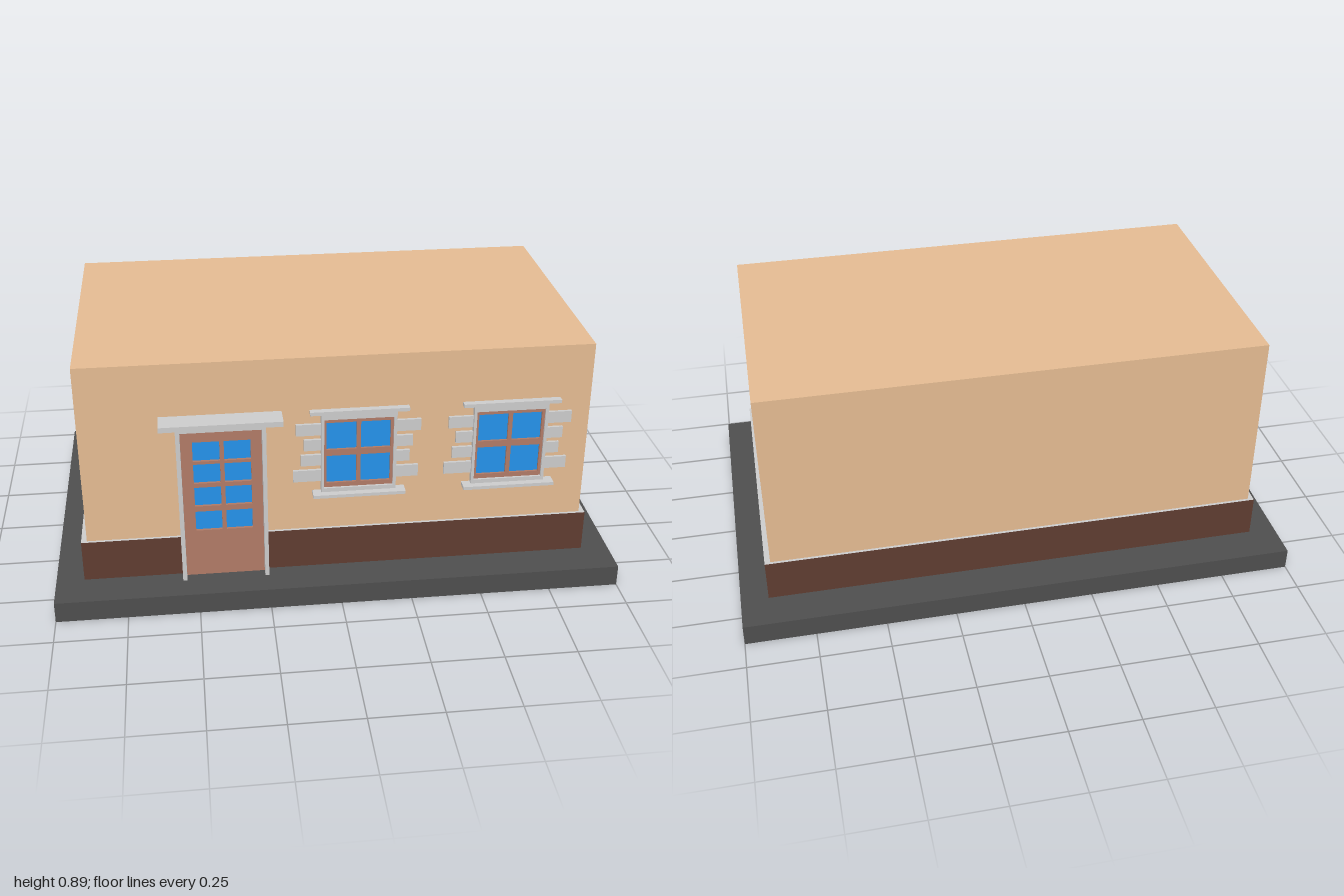
import * as THREE from 'three';

const mat = (color) => new THREE.MeshStandardMaterial({ color });

export function createModel() {
  const model = new THREE.Group();
  const stone = mat(0xcccccc), plaster = mat(0xe4bb92), plinthBrown = mat(0x5f3c30);
  const paving = mat(0x4e4e4e), wood = mat(0xb07a66), glass = mat(0x2492ea);

  // Box given by its limits on each axis
  function box(parent, name, material, x0, x1, y0, y1, z0, z1) {
    const mesh = new THREE.Mesh(new THREE.BoxGeometry(x1 - x0, y1 - y0, z1 - z0), material);
    mesh.position.set((x0 + x1) / 2, (y0 + y1) / 2, (z0 + z1) / 2);
    mesh.name = name;
    parent.add(mesh);
    return mesh;
  }

  // Upright panel with rectangular openings, each [x0, x1, y0, y1]
  function panel(parent, name, material, [x0, x1, y0, y1], holes, z0, z1) {
    const trace = (path, a, b, c, d) =>
      path.moveTo(a, c).lineTo(b, c).lineTo(b, d).lineTo(a, d).lineTo(a, c);
    const shape = trace(new THREE.Shape(), x0, x1, y0, y1);
    for (const h of holes) shape.holes.push(trace(new THREE.Path(), ...h));
    const geometry = new THREE.ExtrudeGeometry(shape, { depth: z1 - z0, bevelEnabled: false });
    const mesh = new THREE.Mesh(geometry, material);
    mesh.position.z = z0;
    mesh.name = name;
    parent.add(mesh);
  }

  // Every pairing of a column span with a row span
  const grid = (columns, rows) => columns.flatMap((c) => rows.map((r) => [...c, ...r]));

  // Building body
  box(model, 'groundSlab', paving, -1, 1, 0, 0.077, -0.635, 0.635);
  const plinth = box(model, 'plinth', plinthBrown, -0.902, 0.902, 0.077, 0.23, -0.5, 0.5);
  plinth.material = [0, 1, 2, 3, 4, 5].map((i) => (i === 2 ? stone : plinthBrown)); // pale top ledge
  box(model, 'walls', plaster, -0.882, 0.882, 0.23, 0.895, -0.49, 0.49);

  // Door
  const door = new THREE.Group();
  door.name = 'door';
  model.add(door);
  const doorPanes = grid([[-0.5, -0.408], [-0.393, -0.302]],
    [[0.26, 0.337], [0.358, 0.433], [0.449, 0.524], [0.535, 0.61]]);
  panel(door, 'doorLeaf', wood, [-0.54, -0.264, 0.077, 0.663], doorPanes, 0.488, 0.512);
  box(door, 'doorGlass', glass, -0.51, -0.292, 0.25, 0.62, 0.488, 0.502);
  box(door, 'rightJamb', stone, -0.555, -0.54, 0.077, 0.683, 0.488, 0.545);
  box(door, 'leftJamb', stone, -0.264, -0.25, 0.077, 0.683, 0.488, 0.545);
  box(door, 'doorHead', stone, -0.54, -0.264, 0.663, 0.683, 0.488, 0.545);
  box(door, 'doorLintel', stone, -0.61, -0.193, 0.683, 0.702, 0.488, 0.57);

  // Windows: y0, y1, outer x on either side of the quoin blocks
  const quoins = [
    [0.605, 0.648, -0.146, 0.287], [0.546, 0.588, -0.119, 0.26],
    [0.487, 0.529, -0.13, 0.25], [0.425, 0.469, -0.157, 0.281],
  ];
  for (const [name, x] of [['middleWindow', 0], ['leftWindow', 0.53]]) {
    const win = new THREE.Group();
    win.name = name;
    win.position.x = x;
    model.add(win);
    const opening = [-0.05, 0.191, 0.4, 0.667];
    const panes = grid([[-0.041, 0.063], [0.078, 0.181]], [[0.417, 0.524], [0.548, 0.652]]);
    panel(win, 'surround', stone, [-0.06, 0.202, 0.385, 0.687], [opening], 0.488, 0.51);
    panel(win, 'sash', wood, opening, panes, 0.488, 0.502);
    box(win, 'windowGlass', glass, -0.045, 0.185, 0.41, 0.66, 0.486, 0.494);
    box(win, 'windowLintel', stone, -0.098, 0.244, 0.687, 0.7, 0.488, 0.513);
    box(win, 'windowSill', stone, -0.09, 0.234, 0.373, 0.385, 0.488, 0.533);
    for (const [y0, y1, left, right] of quoins) {
      box(win, 'quoin', stone, left, -0.06, y0, y1, 0.488, 0.5);
      box(win, 'quoin', stone, 0.202, right, y0, y1, 0.488, 0.5);
    }
  }
  return model;
}
